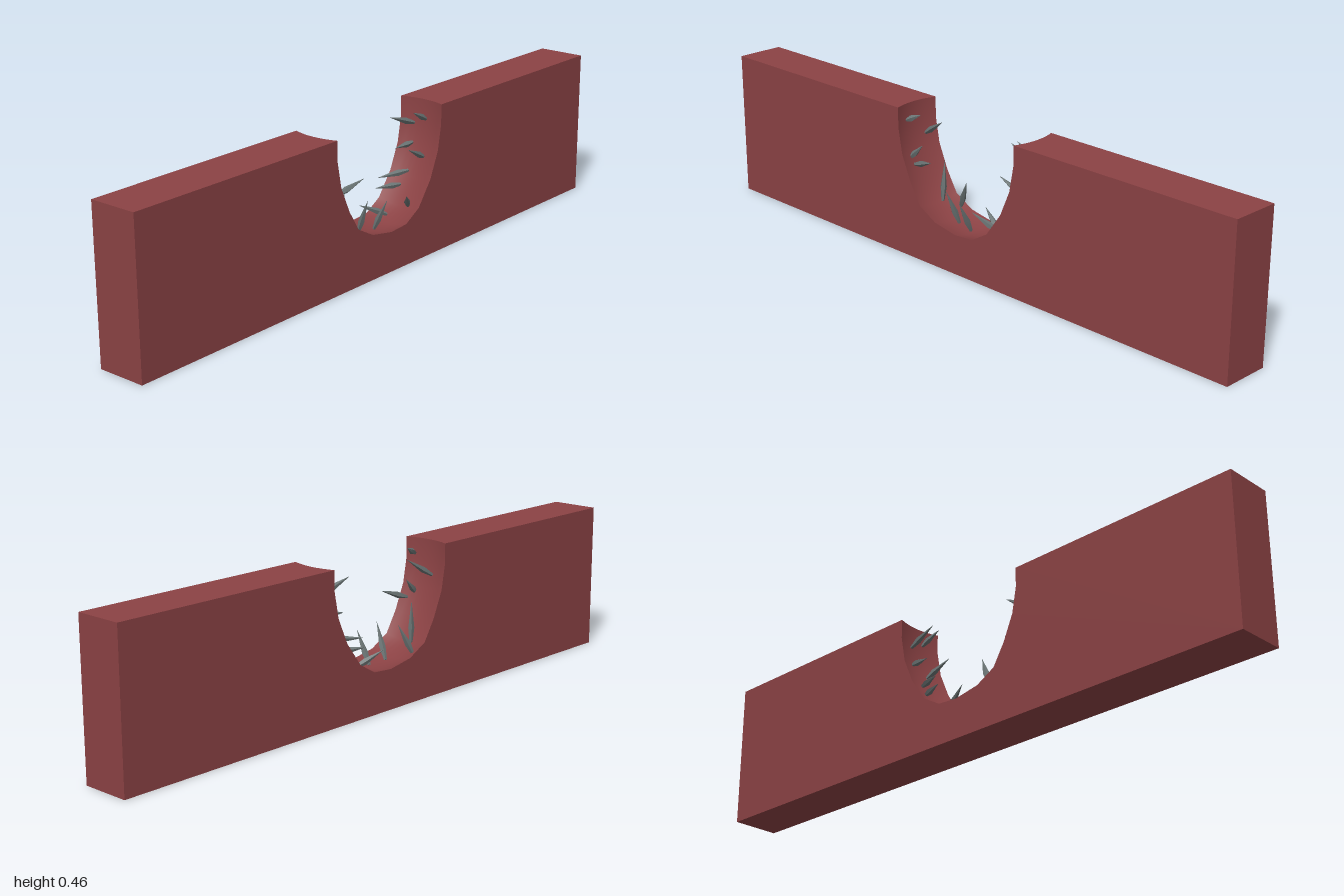
import * as THREE from 'three';
import { toCreasedNormals } from 'three/addons/utils/BufferGeometryUtils.js';

const HEIGHT = 0.462, DEPTH = 0.153;

// Wall slab with a U-shaped breach whose inner surface is hollowed between the faces
function wallGeometry() {
  const notch = [
    [-0.24, HEIGHT], [-0.24, 0.4], [-0.225, 0.32], [-0.19, 0.24], [-0.15, 0.175],
    [-0.085, 0.14], [0, 0.125], [0.07, 0.13], [0.13, 0.165], [0.185, 0.24],
    [0.22, 0.32], [0.235, 0.4], [0.235, HEIGHT],
  ];
  const outline = [[-1, 0], [1, 0], [1, HEIGHT], ...notch.reverse(), [-1, HEIGHT]];
  const shape = new THREE.Shape(outline.map(([x, y]) => new THREE.Vector2(x, y)));
  const geometry = new THREE.ExtrudeGeometry(shape, { depth: DEPTH, steps: 8, bevelEnabled: false });
  geometry.translate(0, 0, -DEPTH / 2);

  // Push the breach outward from its centre, most at mid-depth
  const p = geometry.attributes.position;
  for (let i = 0; i < p.count; i++) {
    const x = p.getX(i), y = p.getY(i), z = p.getZ(i);
    if (Math.abs(x) > 0.5) continue;
    const bulge = 0.014 * (1 - (2 * z / DEPTH) ** 2);
    const out = new THREE.Vector2(x, y - HEIGHT).normalize();
    p.setXY(i, x + out.x * bulge, y + out.y * bulge);
  }
  return toCreasedNormals(geometry, 0.6);
}

// Spikes around the breach: base point, then tip
const SPIKES = [
  [-0.24, 0.415, 0.043, -0.19, 0.44, 0.03],
  [-0.235, 0.36, -0.03, -0.14, 0.42, -0.01],
  [-0.235, 0.295, 0.035, -0.185, 0.345, 0.03],
  [-0.205, 0.285, 0.043, -0.11, 0.317, 0.065],
  [-0.152, 0.165, -0.02, -0.148, 0.295, -0.025],
  [-0.115, 0.145, -0.06, -0.07, 0.24, -0.04],
  [-0.06, 0.125, 0, -0.07, 0.235, 0.045],
  [0, 0.12, 0.01, 0, 0.22, 0.06],
  [0.09, 0.135, -0.015, 0, 0.18, -0.05],
  [0.135, 0.16, 0.03, 0.07, 0.217, 0.077],
  [0.175, 0.205, -0.03, 0.09, 0.207, -0.06],
  [0.2, 0.245, -0.02, 0.1, 0.237, -0.06],
  [0.225, 0.29, 0.02, 0.135, 0.335, 0.03],
  [0.235, 0.325, -0.03, 0.16, 0.32, -0.04],
  [0.24, 0.385, -0.03, 0.135, 0.422, -0.04],
  [0.24, 0.405, 0.015, 0.17, 0.44, 0.02],
];

export function createModel() {
  const brick = new THREE.MeshStandardMaterial({ color: 0x8b4244 });
  brick.name = 'dark red wall';
  const metal = new THREE.MeshStandardMaterial({ color: 0x6c7676 });
  metal.name = 'grey spikes';

  const model = new THREE.Group();
  model.name = 'breachedWall';
  const wall = new THREE.Mesh(wallGeometry(), brick);
  wall.name = 'wall';
  model.add(wall);

  // Unit-length faceted spindle, widest near its base
  const profile = [[0, 0], [0.005, 0], [0.01, 0.35], [0, 1]].map(([r, y]) => new THREE.Vector2(r, y));
  const spikeGeometry = toCreasedNormals(new THREE.LatheGeometry(profile, 5), 0.3);

  const spikes = new THREE.Group();
  spikes.name = 'spikes';
  const up = new THREE.Vector3(0, 1, 0);
  for (const s of SPIKES) {
    const base = new THREE.Vector3(s[0], s[1], s[2]);
    const axis = new THREE.Vector3(s[3], s[4], s[5]).sub(base);
    const spike = new THREE.Mesh(spikeGeometry, metal);
    spike.name = 'spike';
    spike.position.copy(base);
    spike.scale.y = axis.length();
    spike.quaternion.setFromUnitVectors(up, axis.normalize());
    spikes.add(spike);
  }
  model.add(spikes);
  return model;
}
